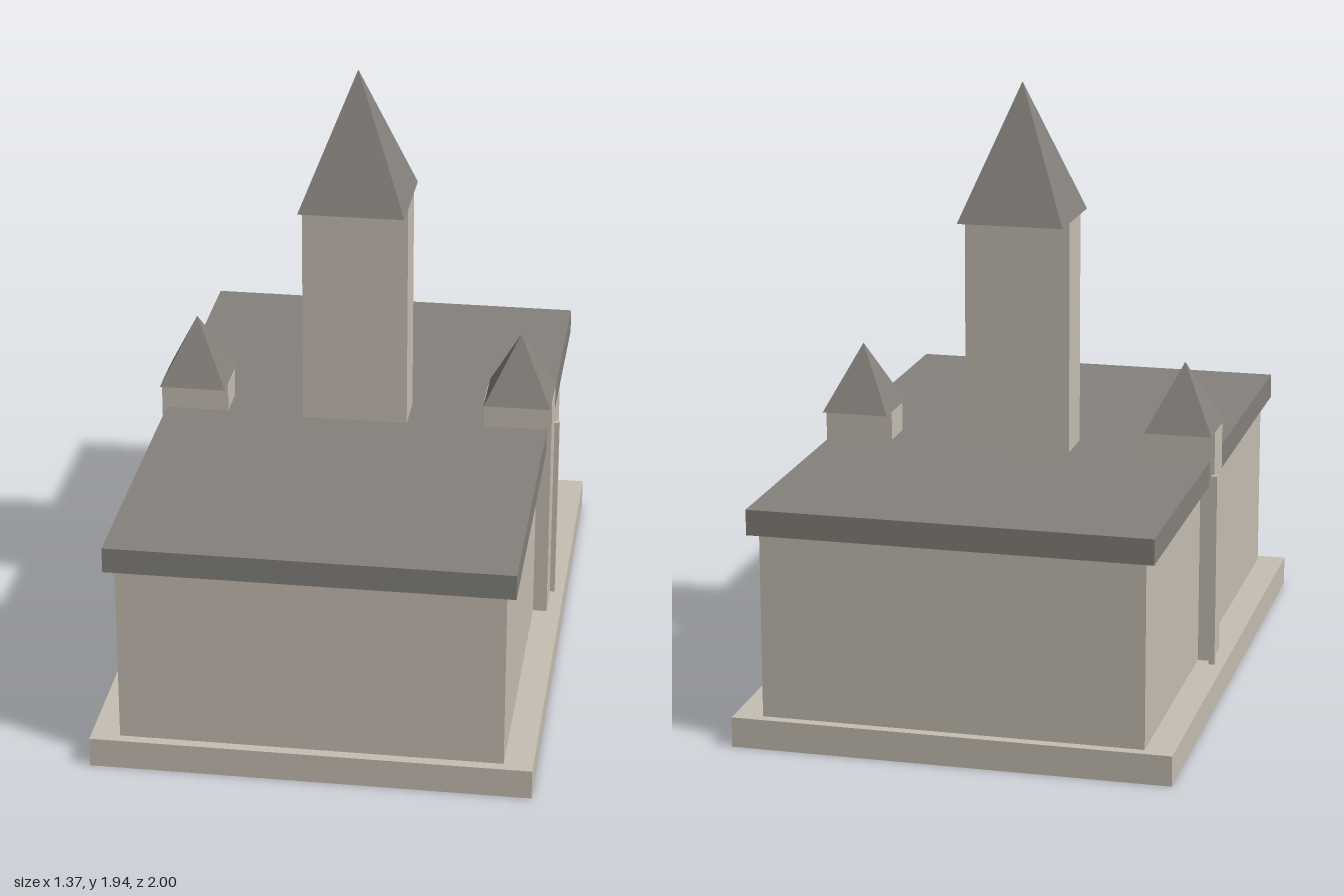
import * as THREE from 'three';

export function createModel() {
  const model = new THREE.Group();
  const stone = new THREE.MeshStandardMaterial({ color: 0xc6beb2 });
  stone.name = 'pale stone';
  const slate = new THREE.MeshStandardMaterial({ color: 0x85817b });
  slate.name = 'grey slate';

  // Box given by its lower and upper limits on each axis
  function block(name, material, [x0, x1], [y0, y1], [z0, z1]) {
    const mesh = new THREE.Mesh(new THREE.BoxGeometry(x1 - x0, y1 - y0, z1 - z0), material);
    mesh.position.set((x0 + x1) / 2, (y0 + y1) / 2, (z0 + z1) / 2);
    mesh.name = name;
    model.add(mesh);
  }

  // Square pyramid with its sides along the axes
  function spire(name, x, y0, y1, z, half) {
    const geometry = new THREE.ConeGeometry(half * Math.SQRT2, y1 - y0, 4, 1).toNonIndexed();
    geometry.rotateY(Math.PI / 4);
    geometry.computeVertexNormals();
    const mesh = new THREE.Mesh(geometry, slate);
    mesh.position.set(x, (y0 + y1) / 2, z);
    mesh.name = name;
    model.add(mesh);
  }

  // Plinth, hall and flat roof
  block('plinth', stone, [-0.685, 0.685], [0, 0.095], [-1, 1]);
  block('hall', stone, [-0.595, 0.595], [0.095, 0.68], [-0.967, 0.967]);
  block('roof', slate, [-0.625, 0.625], [0.68, 0.76], [-1, 1]);

  // Central tower
  block('centralTower', stone, [-0.17, 0.17], [0.68, 1.505], [-0.15, 0]);
  spire('centralSpire', 0, 1.505, 1.935, -0.077, 0.17);

  // Side turrets, each with a slim pilaster behind it
  for (const [side, s] of [['right', -1], ['left', 1]]) {
    const span = (a, b) => (s > 0 ? [a, b] : [-b, -a]);
    block(side + 'Turret', stone, span(0.42, 0.64), [0.095, 0.85], [-0.14, -0.015]);
    spire(side + 'TurretSpire', s * 0.53, 0.85, 1.063, -0.08, 0.108);
    block(side + 'Pilaster', stone, span(0.635, 0.655), [0.095, 0.72], [-0.173, -0.155]);
  }

  return model;
}
